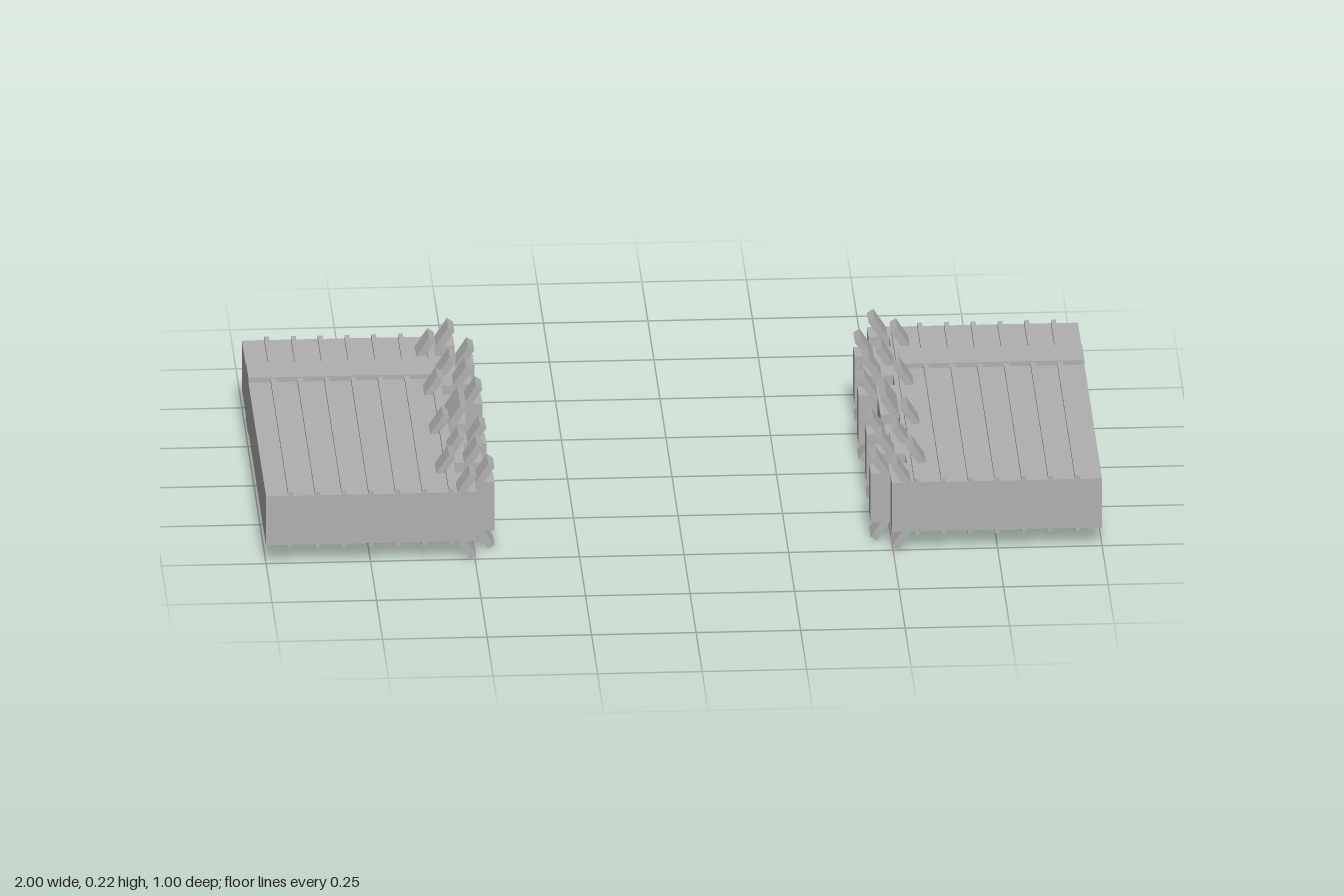
import * as THREE from 'three';

export function createModel() {
  const model = new THREE.Group();
  const grey = new THREE.MeshStandardMaterial({ color: 0xb0b0b0 });
  grey.name = 'concrete grey';

  const MID = 0.11, HALF = 0.063; // slab mid height and half thickness
  const SEG = 1 / 16;             // depth of one broken segment

  // Distance of each broken end from the centre line, from back to front
  const tips = [0.495, 0.545, 0.455, 0.502, 0.467, 0.54, 0.45, 0.495,
    0.495, 0.54, 0.455, 0.51, 0.47, 0.54, 0.45, 0.497];

  function box(parent, name, w, h, d, x, y, z, rot = 0) {
    const mesh = new THREE.Mesh(new THREE.BoxGeometry(w, h, d), grey);
    mesh.name = name;
    mesh.position.set(x, y, z);
    mesh.rotation.z = rot;
    parent.add(mesh);
  }

  function slab(name, s) {
    const g = new THREE.Group();
    g.name = name;

    // Solid outer block
    box(g, 'slabBody', 0.44, HALF * 2, 1, s * 0.78, MID, 0);

    // Jagged inner edge, each segment with bent splinters above and below
    const L = 0.06, T = 0.018, a = 0.995;
    const dx = (L * Math.cos(a) + T * Math.sin(a)) / 2;
    const dy = (L * Math.sin(a) + T * Math.cos(a)) / 2;
    tips.forEach((tip, i) => {
      const z = -0.5 + (i + 0.5) * SEG;
      const w = 0.56 - tip;
      box(g, 'brokenEnd', w, HALF * 2, SEG, s * (tip + w / 2), MID, z);
      for (const v of [1, -1]) {
        box(g, 'bentSplinter', L, T, SEG, s * (tip + dx), MID + v * (0.11 - dy), z, -s * v * a);
      }
    });

    for (const v of [1, -1]) {
      // Raised ribs running front to back
      for (let i = 0; i < 7; i++) {
        box(g, 'rib', 0.012, 0.012, 1, s * (0.941 - i * 0.064), MID + v * 0.066, 0);
      }
      // Flat cross band
      box(g, 'crossBand', 0.44, 0.015, 0.1, s * 0.78, MID + v * 0.0675, -0.28);
    }
    model.add(g);
  }

  slab('leftSlab', 1);
  slab('rightSlab', -1);
  return model;
}
